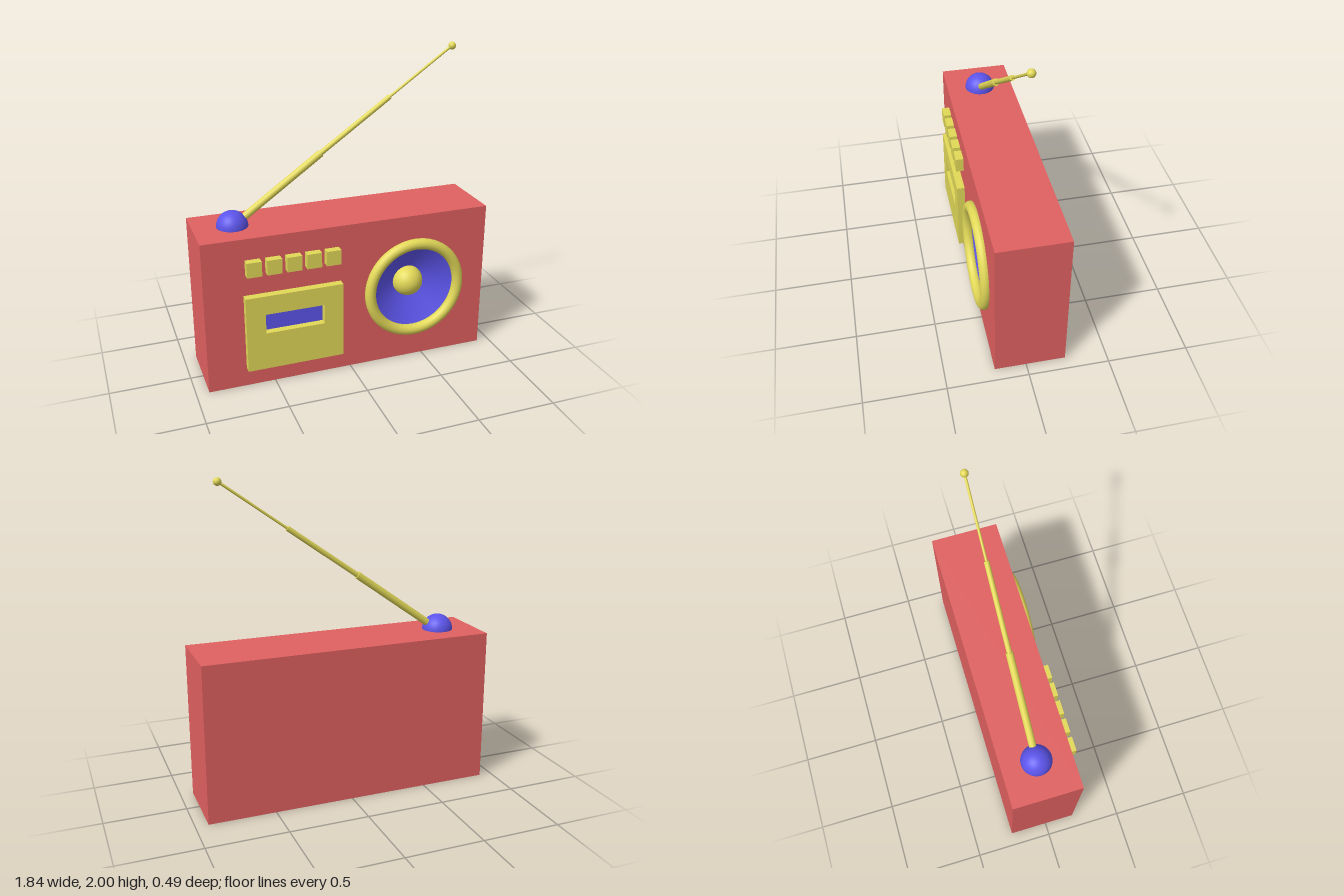
import * as THREE from 'three';
import { mergeGeometries } from 'three/addons/utils/BufferGeometryUtils.js';

const red = new THREE.MeshStandardMaterial({ color: 0xe06060 });
const yellow = new THREE.MeshStandardMaterial({ color: 0xe2d858 });
const blue = new THREE.MeshStandardMaterial({ color: 0x5c54ea });
const blueOpen = new THREE.MeshStandardMaterial({ color: 0x5c54ea, side: THREE.DoubleSide });

const W = 1.84, H = 0.985, BACK = -0.245, FRONT = 0.195, RAISE = 0.05;
const SPEAKER = { x: 0.43, y: 0.495 };

function rect(x0, y0, x1, y1, Type = THREE.Shape) {
  const s = new Type();
  s.moveTo(x0, y0);
  s.lineTo(x1, y0);
  s.lineTo(x1, y1);
  s.lineTo(x0, y1);
  s.closePath();
  return s;
}

function add(parent, name, geometry, material, x = 0, y = 0, z = 0) {
  const mesh = new THREE.Mesh(geometry, material);
  mesh.name = name;
  mesh.position.set(x, y, z);
  parent.add(mesh);
  return mesh;
}

// Box whose front is replaced by a plate with a round speaker opening
function bodyGeometry() {
  const box = new THREE.BoxGeometry(W, H, FRONT - BACK);
  box.translate(0, H / 2, (FRONT + BACK) / 2);
  const index = Array.from(box.index.array);
  index.splice(24, 6);
  box.setIndex(index);
  box.clearGroups();
  const plate = rect(-W / 2, 0, W / 2, H);
  const hole = new THREE.Path();
  hole.absarc(SPEAKER.x, SPEAKER.y, 0.3, 0, Math.PI * 2, true);
  plate.holes.push(hole);
  const front = new THREE.ShapeGeometry(plate, 32);
  front.translate(0, 0, FRONT);
  return mergeGeometries([box, front]);
}

function createSpeaker() {
  const g = new THREE.Group();
  g.name = 'speaker';
  g.position.set(SPEAKER.x, SPEAKER.y, 0);
  add(g, 'speakerRing', new THREE.TorusGeometry(0.302, 0.035, 20, 64), yellow, 0, 0, 0.21);
  // Recessed cone, narrowing towards the back
  const cone = new THREE.LatheGeometry([
    new THREE.Vector2(0, 0.085),
    new THREE.Vector2(0.09, 0.085),
    new THREE.Vector2(0.302, 0.205),
  ], 64);
  add(g, 'speakerCone', cone, blueOpen).rotation.x = Math.PI / 2;
  add(g, 'dustCap', new THREE.SphereGeometry(0.1, 32, 20), yellow, 0, 0, 0.092);
  return g;
}

function createCassetteDoor() {
  const g = new THREE.Group();
  g.name = 'cassetteDeck';
  const door = rect(-0.68, 0.125, -0.065, 0.62);
  door.holes.push(rect(-0.56, 0.37, -0.187, 0.497, THREE.Path));
  add(g, 'cassetteDoor', new THREE.ExtrudeGeometry(door, { depth: RAISE, bevelEnabled: false }),
    yellow, 0, 0, FRONT);
  add(g, 'cassetteWindow', new THREE.BoxGeometry(0.39, 0.14, 0.01), blue, -0.3735, 0.4335, FRONT);
  return g;
}

function createAntenna() {
  const g = new THREE.Group();
  g.name = 'antenna';
  g.position.z = -0.025;
  add(g, 'antennaBase', new THREE.SphereGeometry(0.097, 32, 16, 0, Math.PI * 2, 0, Math.PI / 2),
    blue, -0.68, H, 0);
  // Telescopic sections, each thinner than the one before
  const joints = [[-0.66, 0.995], [-0.115, 1.383], [0.33, 1.695], [0.735, 1.98]];
  const radii = [0.023, 0.016, 0.008];
  radii.forEach((r, i) => {
    const a = new THREE.Vector3(...joints[i], 0);
    const b = new THREE.Vector3(...joints[i + 1], 0);
    const dir = b.clone().sub(a);
    const mid = a.clone().add(b).multiplyScalar(0.5);
    const rod = add(g, 'antennaSection' + (i + 1),
      new THREE.CylinderGeometry(r, r, dir.length(), 20), yellow, mid.x, mid.y, 0);
    rod.quaternion.setFromUnitVectors(new THREE.Vector3(0, 1, 0), dir.normalize());
  });
  add(g, 'antennaTip', new THREE.SphereGeometry(0.024, 20, 14), yellow, 0.735, 1.978, 0);
  return g;
}

export function createModel() {
  const model = new THREE.Group();
  model.name = 'radio';
  add(model, 'body', bodyGeometry(), red);
  model.add(createSpeaker(), createCassetteDoor(), createAntenna());
  // Row of push buttons
  for (let i = 0; i < 5; i++) {
    add(model, 'button' + (i + 1), new THREE.BoxGeometry(0.092, 0.095, RAISE), yellow,
      -0.618 + i * 0.1235, 0.803, FRONT + RAISE / 2);
  }
  return model;
}
